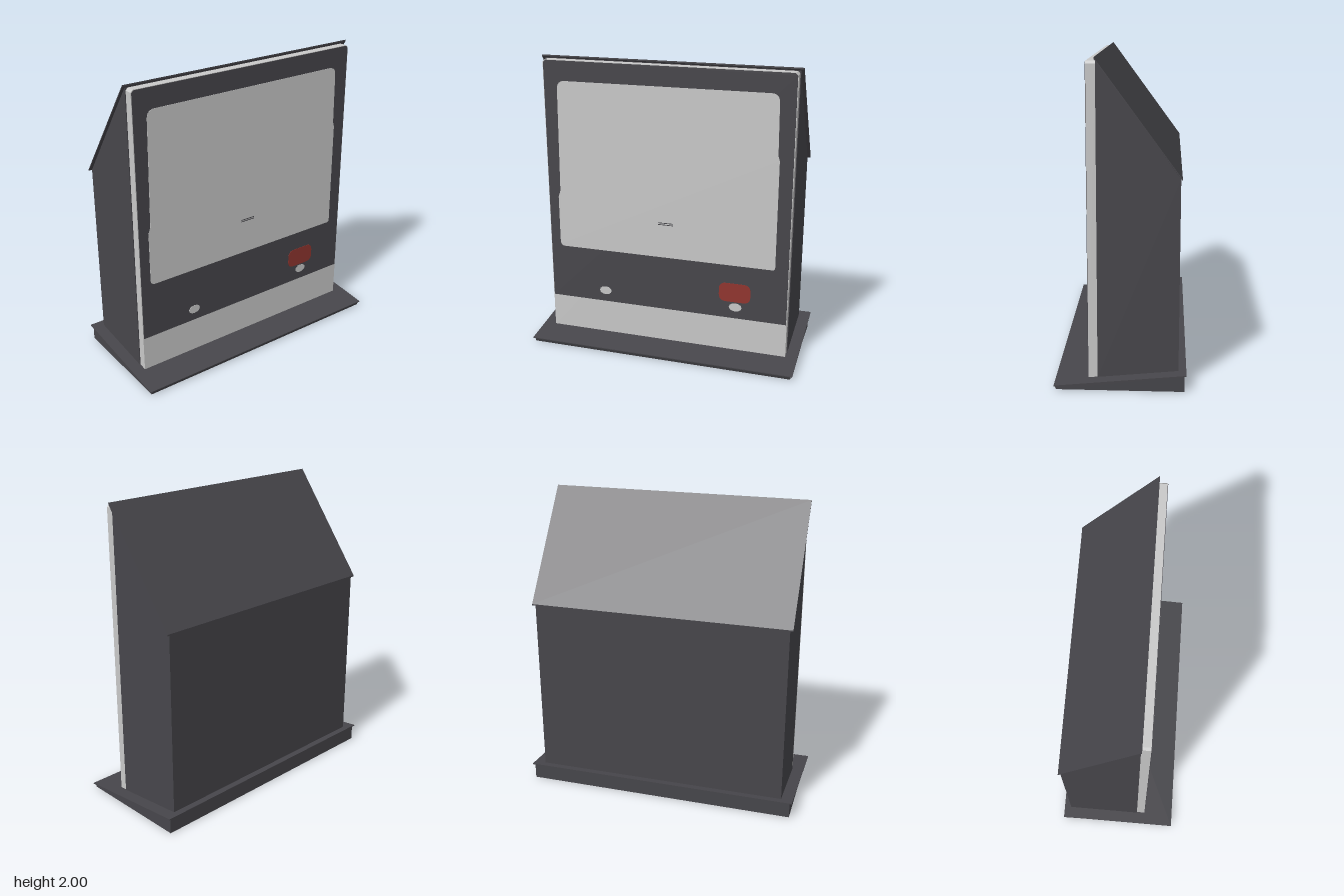
import * as THREE from 'three';

const mat = (name, color) => {
  const m = new THREE.MeshStandardMaterial({ color });
  m.name = name;
  return m;
};

export function createModel() {
  const group = new THREE.Group();
  const dark = mat('charcoal', 0x47464b);
  const pale = mat('pale grey', 0xc9c9c9);
  const red = mat('signal red', 0x91352f);

  const add = (name, geometry, material) => {
    const mesh = new THREE.Mesh(geometry, material);
    mesh.name = name;
    group.add(mesh);
    return mesh;
  };
  const polygon = (points) => new THREE.Shape(points.map(([x, y]) => new THREE.Vector2(x, y)));

  // side profile of [z, y] points, extended across x
  const across = (points, halfWidth) =>
    new THREE.ExtrudeGeometry(polygon(points), { depth: halfWidth * 2, bevelEnabled: false })
      .rotateY(-Math.PI / 2)
      .translate(halfWidth, 0, 0);

  // front outline of [x, y] points, from zBack to zFront
  const facing = (shape, zBack, zFront) =>
    new THREE.ExtrudeGeometry(shape, { depth: zFront - zBack, bevelEnabled: false, curveSegments: 6 })
      .translate(0, 0, zBack);

  // rounded outline; corners are [x, y, radius]
  const rounded = (corners) => {
    const shape = new THREE.Shape();
    const n = corners.length;
    corners.forEach(([x, y, r], i) => {
      const p = new THREE.Vector2(x, y);
      const toward = ([a, b]) => new THREE.Vector2(a, b).sub(p).setLength(r).add(p);
      const a = toward(corners[(i + n - 1) % n]);
      const b = toward(corners[(i + 1) % n]);
      if (i === 0) shape.moveTo(a.x, a.y);
      else shape.lineTo(a.x, a.y);
      shape.quadraticCurveTo(x, y, b.x, b.y);
    });
    shape.closePath();
    return shape;
  };

  // wedge foot with a thin overhanging top sheet
  add('baseWedge', across([[0.39, 0], [0.4, 0.025], [-0.392, 0.104], [-0.392, 0]], 0.91), dark);
  add('baseTopSheet', across([[0.403, 0.024], [0.403, 0.03], [-0.403, 0.112], [-0.403, 0.106]], 0.925), dark);

  // cabinet with sloping back and a thin roof
  add('cabinet', across([[0.14, 0.05], [0.14, 1.985], [-0.355, 1.302], [-0.355, 0.1]], 0.847), dark);
  add('roof', across([[0.146, 1.99], [0.146, 2], [-0.364, 1.305], [-0.364, 1.296]], 0.867), dark);

  // front panel with clipped top corners
  const panel = (half, bottom, top) => polygon([
    [-half, bottom], [half, bottom], [half, top - 0.015], [half - 0.015, top],
    [-half + 0.015, top], [-half, top - 0.015],
  ]);
  add('frontPanel', facing(panel(0.842, 0.05, 1.978), 0.14, 0.196), pale);
  add('darkFascia', facing(panel(0.838, 0.29, 1.975), 0.195, 0.199), dark);

  // painted details
  add('screen', facing(rounded([
    [-0.77, 0.675, 0.035], [0.75, 0.675, 0.02], [0.75, 1.42, 0.01], [0.74, 1.45, 0.01],
    [0.735, 1.845, 0.055], [-0.745, 1.842, 0.055], [-0.755, 1.08, 0.01], [-0.77, 1.04, 0.01],
  ]), 0.198, 0.201), pale);

  for (const y of [0.911, 0.923]) {
    add('screenSlot', new THREE.BoxGeometry(0.105, 0.005, 0.003).translate(0, y, 0.201), dark);
  }

  for (const x of [-0.442, 0.49]) {
    const knob = new THREE.Shape();
    knob.absellipse(x, 0.372, 0.044, 0.03, 0, Math.PI * 2);
    add('knob', facing(knob, 0.198, 0.201), pale);
  }

  add('redBadge', facing(rounded([
    [0.375, 0.41, 0.05], [0.592, 0.41, 0.05], [0.592, 0.545, 0.05], [0.375, 0.545, 0.05],
  ]), 0.198, 0.201), red);

  return group;
}
